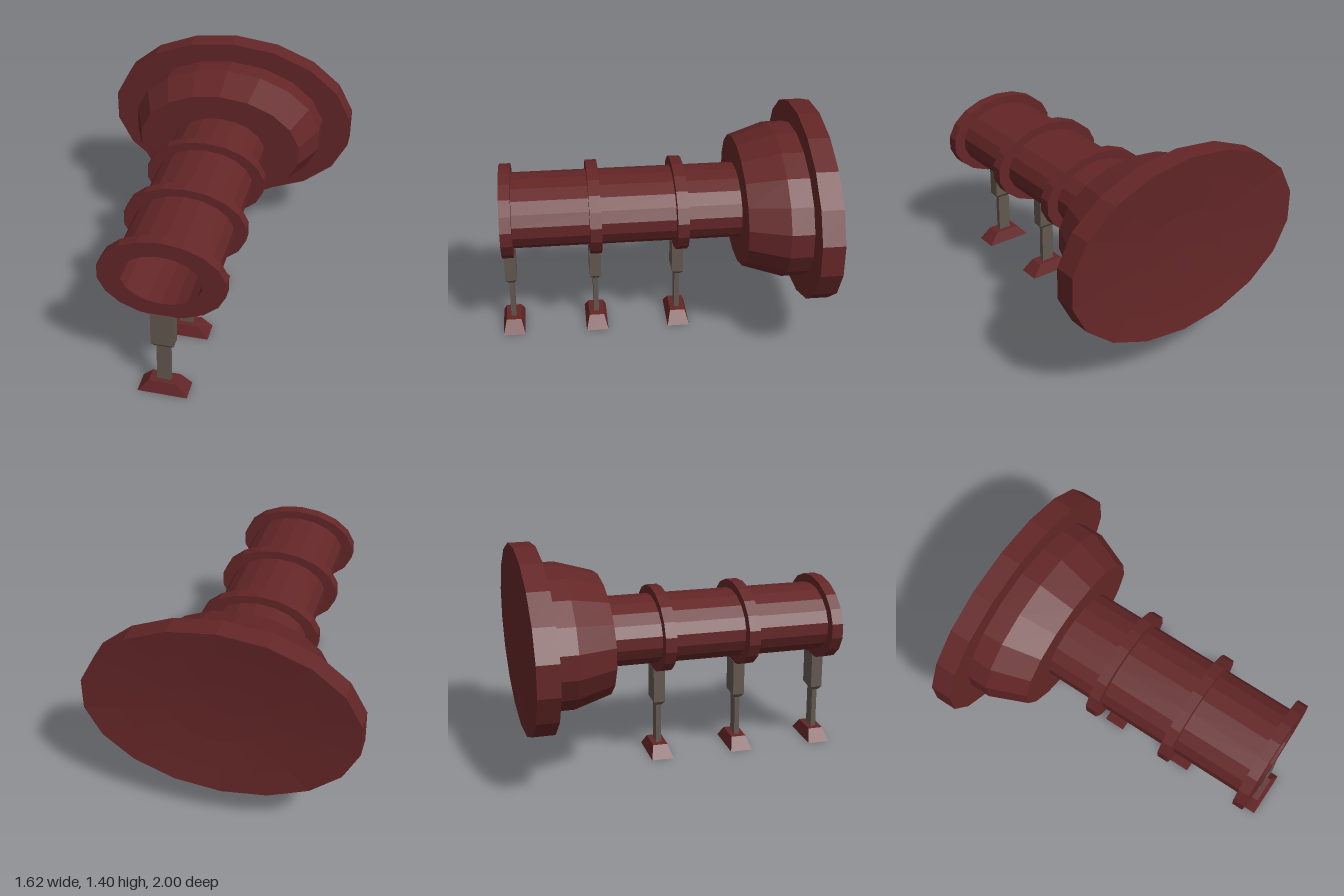
import * as THREE from 'three';

const CENTER_Y = 0.835; // height of the barrel axis
const SQUASH = 0.687;   // height / width of the oval section
const SIDES = 18;

function flat(geometry) {
  const g = geometry.index ? geometry.toNonIndexed() : geometry;
  g.computeVertexNormals();
  return g;
}

// Oval solid of revolution along z; profile is [radius, z] from back to front
function ovalLathe(profile) {
  const g = new THREE.LatheGeometry(profile.map(([r, z]) => new THREE.Vector2(r, z)), SIDES);
  g.scale(1, 1, SQUASH);
  g.rotateX(Math.PI / 2);
  return flat(g);
}

// Box with different half sizes at bottom and top
function frustum(y0, [x0, z0], y1, [x1, z1]) {
  const g = new THREE.BoxGeometry(2, 1, 2);
  const p = g.attributes.position;
  for (let i = 0; i < p.count; i++) {
    const top = p.getY(i) > 0;
    p.setXYZ(i, p.getX(i) * (top ? x1 : x0), top ? y1 : y0, p.getZ(i) * (top ? z1 : z0));
  }
  return flat(g);
}

export function createModel() {
  const red = new THREE.MeshStandardMaterial({ color: 0x642627 });
  red.name = 'dark red';
  const grey = new THREE.MeshStandardMaterial({ color: 0x62574f });
  grey.name = 'warm grey';

  const model = new THREE.Group();
  model.name = 'model';
  const add = (parent, name, geometry, material) => {
    const mesh = new THREE.Mesh(geometry, material);
    mesh.name = name;
    parent.add(mesh);
    return mesh;
  };

  // Barrel: slightly dished back disc, stepped housing, ringed tube and bore
  const ringCentres = [-0.13, 0.395, 0.93];
  const profile = [
    [0, -0.965], [0.3, -0.97], [0.6, -0.985], [0.82, -1], [0.82, -0.865],
    [0.635, -0.865], [0.635, -0.73], [0.537, -0.495], [0.305, -0.495],
  ];
  for (const z of ringCentres) {
    profile.push([0.305, z - 0.035], [0.38, z - 0.035], [0.38, z + 0.035]);
    if (z < 0.9) profile.push([0.305, z + 0.035]);
  }
  profile.push([0.24, 0.965], [0.24, -0.45], [0, -0.45]);
  add(model, 'barrel', ovalLathe(profile), red).position.y = CENTER_Y;

  // One stand below each ring
  const foot = frustum(0, [0.152, 0.07], 0.075, [0.086, 0.047]);
  const post = frustum(0.07, [0.042, 0.016], 0.34, [0.042, 0.016]);
  const collar = frustum(0.335, [0.05, 0.018], 0.36, [0.07, 0.0365]);
  const sleeve = frustum(0.36, [0.07, 0.0365], 0.585, [0.07, 0.0365]);
  for (const z of ringCentres) {
    const stand = new THREE.Group();
    stand.name = 'stand';
    stand.position.z = z;
    add(stand, 'foot', foot, red);
    add(stand, 'post', post, grey);
    add(stand, 'collar', collar, grey);
    add(stand, 'sleeve', sleeve, grey);
    model.add(stand);
  }
  return model;
}
